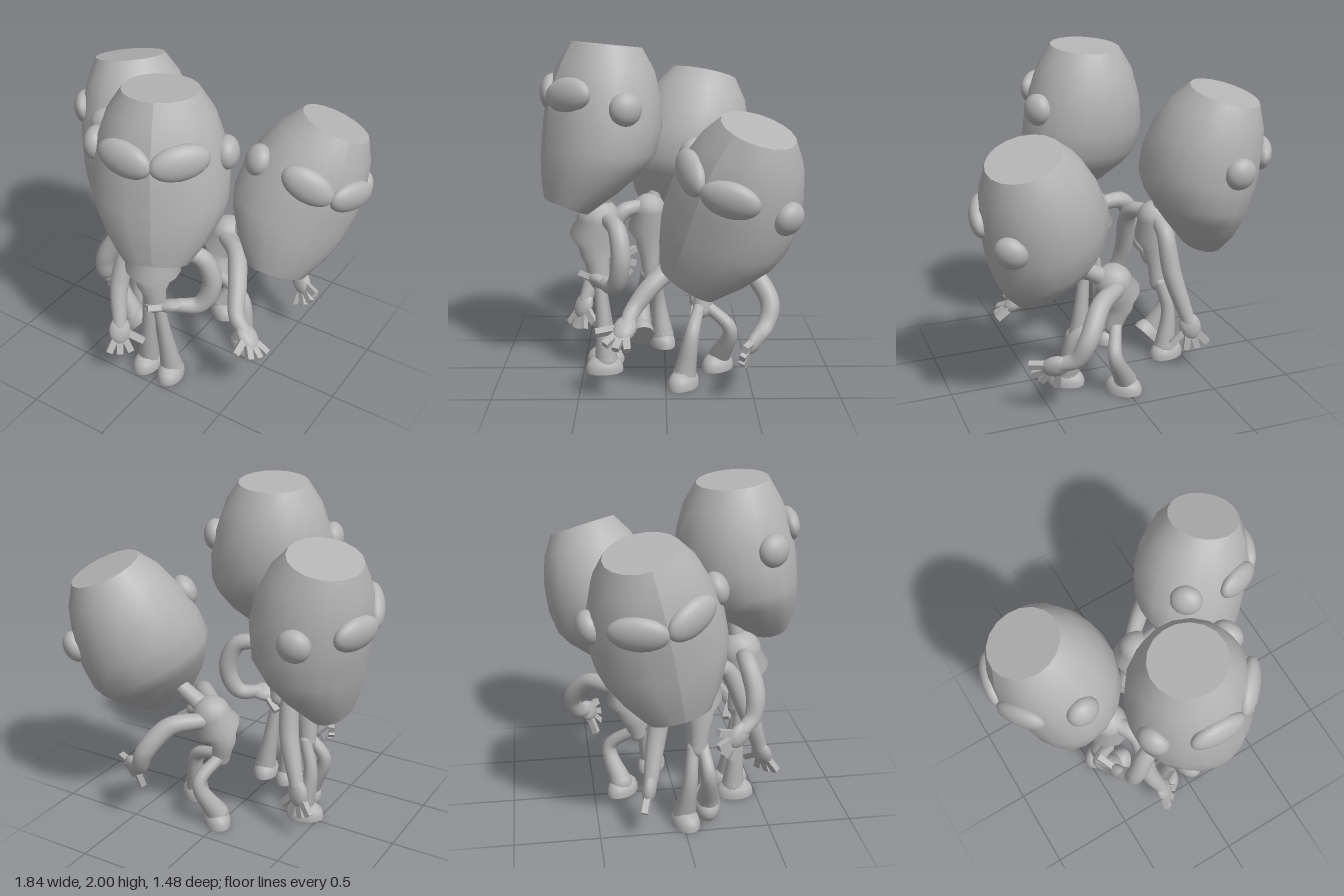
import * as THREE from 'three';

const skin = new THREE.MeshStandardMaterial({ color: 0xb4b4b4 });
skin.name = 'plain grey';
const V = (p) => new THREE.Vector3(...p);

function add(parent, name, geometry, position = [0, 0, 0], scale = [1, 1, 1]) {
  const mesh = new THREE.Mesh(geometry, skin);
  mesh.name = name;
  mesh.position.set(...position);
  mesh.scale.set(...scale);
  parent.add(mesh);
  return mesh;
}

// Thickness rules along a limb, t running from 0 to 1
const armRadius = (t) => 0.046 + 0.014 * Math.sin(Math.PI * t) - 0.004 * t;
const legRadius = (t) => 0.036 + 0.034 * t * t;
const neckRadius = (t) => 0.055 - 0.015 * t;
const chest = [0.135, 0.165, 0.1, 0.072, 0.065];
const torsoRadius = (t) => {
  const k = Math.min(Math.floor(t * 4), 3);
  return THREE.MathUtils.lerp(chest[k], chest[k + 1], THREE.MathUtils.smoothstep(t * 4 - k, 0, 1));
};

// Tube through the points, swelling by a radius rule, with rounded ends
function limb(parent, name, points, radius) {
  const sides = 14;
  const n = 24;
  const curve = new THREE.CatmullRomCurve3(points.map(V), false, 'centripetal');
  const geo = new THREE.TubeGeometry(curve, n, 1, sides);
  const pos = geo.attributes.position;
  const v = new THREE.Vector3();
  for (let i = 0; i < pos.count; i++) {
    const t = Math.floor(i / (sides + 1)) / n;
    const c = curve.getPointAt(t);
    v.fromBufferAttribute(pos, i).sub(c).multiplyScalar(radius(t)).add(c);
    pos.setXYZ(i, v.x, v.y, v.z);
  }
  add(parent, name, geo);
  for (const t of [0, 1]) {
    add(parent, name + 'End', new THREE.SphereGeometry(radius(t), 12, 8), curve.getPointAt(t).toArray());
  }
  return curve;
}

// Head cross-sections from crown to chin: [height, back, front, half width, forward rise]
const headRows = [
  [0, -0.21, 0.21, 0.21, 0],
  [-0.12, -0.29, 0.265, 0.29, 0],
  [-0.28, -0.345, 0.315, 0.345, 0],
  [-0.45, -0.36, 0.325, 0.38, 0],
  [-0.6, -0.335, 0.325, 0.38, 0],
  [-0.69, -0.275, 0.325, 0.355, 0],
  [-0.82, -0.13, 0.315, 0.285, 0.015],
  [-0.95, 0.05, 0.295, 0.185, 0.035],
];

function buildHead(parent, { at, yaw, pitch, roll }) {
  const head = new THREE.Group();
  head.name = 'head';
  head.position.set(...at);
  head.rotation.set(pitch, yaw, roll, 'YXZ');
  parent.add(head);

  const last = headRows.length - 1;
  const geo = new THREE.CylinderGeometry(1, 1, 1, 18, last);
  const pos = geo.attributes.position;
  for (let i = 0; i < pos.count; i++) {
    const [h, back, front, w, rise] = headRows[Math.round((0.5 - pos.getY(i)) * last)];
    const z = pos.getZ(i);
    pos.setXYZ(i, pos.getX(i) * w, h + z * rise, (back + front) / 2 + z * (front - back) / 2);
  }
  geo.computeVertexNormals();
  add(head, 'skull', geo);

  const ball = new THREE.SphereGeometry(1, 24, 16);
  for (const s of [1, -1]) {
    add(head, 'ear', ball, [s * 0.355, -0.34, 0], [0.07, 0.095, 0.095]);
    const brow = add(head, 'brow', ball, [s * 0.145, -0.295, 0.265], [0.165, 0.1, 0.063]);
    brow.rotation.set(0, s * 0.43, s * 0.14, 'YXZ');
  }
}

// Arm ending in a flat palm with square fingers fanned along the spread direction
function buildArm(parent, points, spread) {
  const curve = limb(parent, 'arm', points, armRadius);
  const y = curve.getTangentAt(1);
  const z = V(spread).cross(y).normalize();
  const x = new THREE.Vector3().crossVectors(y, z);
  const hand = new THREE.Group();
  hand.name = 'hand';
  hand.position.copy(curve.getPointAt(1)).addScaledVector(y, 0.04);
  hand.quaternion.setFromRotationMatrix(new THREE.Matrix4().makeBasis(x, y, z));
  parent.add(hand);
  add(hand, 'palm', new THREE.SphereGeometry(1, 12, 8), [0, 0, 0], [0.068, 0.09, 0.042]);
  const finger = new THREE.BoxGeometry(0.04, 0.14, 0.036).translate(0, 0.08, 0);
  for (const a of [-0.42, 0, 0.42, 1.05]) {
    add(hand, 'finger', finger, [-a * 0.015, 0, 0]).rotation.z = a;
  }
}

// Leg flaring into a domed shoe with a flat sole
function buildLeg(parent, points, yaw, lift = 0) {
  const ankle = limb(parent, 'leg', points, legRadius).getPointAt(1);
  const foot = new THREE.Group();
  foot.name = 'foot';
  foot.rotation.set(lift, yaw, 0, 'YXZ');
  foot.position.set(0, -0.07, 0.012).applyEuler(foot.rotation).add(ankle);
  parent.add(foot);
  const profile = [[0, 0], [1, 0], [1, 0], [1, 0.3], [0.88, 0.62], [0.6, 0.9], [0, 1]];
  const dome = new THREE.LatheGeometry(profile.map((p) => new THREE.Vector2(...p)), 20);
  add(foot, 'shoe', dome, [0, 0, 0], [0.08, 0.1, 0.115]);
}

function buildTrunk(parent, torso, girth, neckTop) {
  limb(parent, 'torso', torso, (t) => torsoRadius(t) * girth);
  limb(parent, 'neck', [torso[0], neckTop], neckRadius);
}

function frontFigure() {
  const g = new THREE.Group();
  g.name = 'frontFigure';
  buildHead(g, { at: [0.012, 1.975, 0.34], yaw: 0.43, pitch: -0.1, roll: 0 });
  buildTrunk(g, [[-0.02, 0.93, 0.4], [-0.02, 0.76, 0.42], [-0.02, 0.56, 0.4]], 1, [0, 1.25, 0.34]);
  buildArm(g, [[0.1, 0.95, 0.33], [0.23, 0.92, 0.28], [0.29, 0.75, 0.26], [0.23, 0.59, 0.3], [0.12, 0.58, 0.37]], [0, 0.5, 1]);
  buildArm(g, [[-0.13, 0.95, 0.4], [-0.25, 0.95, 0.4], [-0.35, 0.79, 0.43], [-0.38, 0.66, 0.41], [-0.41, 0.6, 0.35]], [0, -1, 0]);
  buildLeg(g, [[0, 0.56, 0.4], [0.06, 0.07, 0.36]], 0.2);
  buildLeg(g, [[-0.07, 0.56, 0.4], [-0.11, 0.07, 0.36]], 0);
  return g;
}

function leftLookingFigure() {
  const g = new THREE.Group();
  g.name = 'leftLookingFigure';
  buildHead(g, { at: [-0.625, 1.76, -0.255], yaw: -1.42, pitch: 0.18, roll: 0.22 });
  buildTrunk(g, [[-0.35, 0.92, 0.1], [-0.37, 0.68, 0.1], [-0.38, 0.48, 0.09]], 0.8, [-0.42, 1.15, 0]);
  buildArm(g, [[-0.32, 0.95, 0.16], [-0.26, 0.92, 0.27], [-0.27, 0.6, 0.42], [-0.22, 0.37, 0.5]], [-0.7, 0, 0.7]);
  buildArm(g, [[-0.35, 0.92, 0.03], [-0.35, 0.87, -0.07], [-0.37, 0.64, -0.14], [-0.46, 0.33, -0.2]], [-1, 0, -0.3]);
  buildLeg(g, [[-0.38, 0.49, 0.12], [-0.47, 0.36, 0.14], [-0.375, 0.14, 0.155]], -1.42, 0.85);
  buildLeg(g, [[-0.38, 0.49, 0.06], [-0.43, 0.3, 0.04], [-0.4, 0.07, 0.01]], -1.3);
  return g;
}

function rightLookingFigure() {
  const g = new THREE.Group();
  g.name = 'rightLookingFigure';
  buildHead(g, { at: [0.65, 1.565, -0.485], yaw: 0.82, pitch: 0.03, roll: -0.4 });
  buildTrunk(g, [[0.07, 0.7, -0.28], [0.02, 0.54, -0.25], [0.05, 0.39, -0.22]], 0.85, [0.36, 0.88, -0.28]);
  buildArm(g, [[0.08, 0.69, -0.36], [0.23, 0.67, -0.5], [0.34, 0.52, -0.6], [0.4, 0.4, -0.57], [0.47, 0.36, -0.52]], [0, 1, -0.4]);
  buildArm(g, [[0.1, 0.72, -0.2], [0.25, 0.73, -0.08], [0.35, 0.64, 0.07], [0.42, 0.5, 0.19], [0.49, 0.45, 0.22]], [0.1, 0, -1]);
  buildLeg(g, [[0.04, 0.41, -0.25], [0.1, 0.28, -0.39], [0.01, 0.07, -0.33]], 0.8);
  buildLeg(g, [[0.08, 0.4, -0.2], [0.26, 0.33, -0.16], [0.3, 0.07, -0.11]], 0.95);
  return g;
}

export function createModel() {
  const model = new THREE.Group();
  model.name = 'threeBigHeadedFigures';
  model.add(frontFigure(), leftLookingFigure(), rightLookingFigure());
  return model;
}
